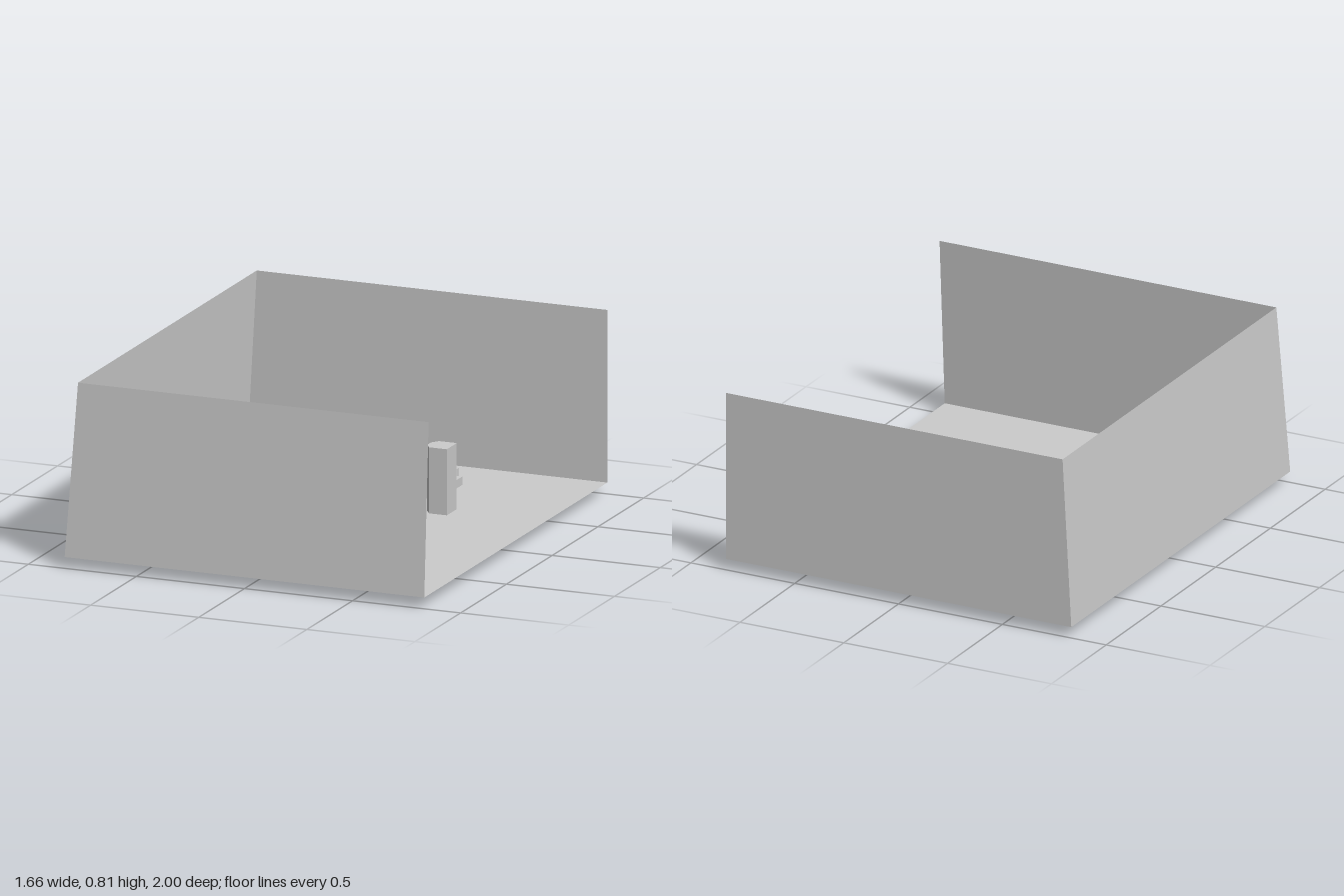
import * as THREE from 'three';

const concrete = new THREE.MeshStandardMaterial({ color: 0xcccccc });
concrete.name = 'light grey';
concrete.side = THREE.DoubleSide;

const FLOOR = 0.05, TOP = 0.813;

export function createModel() {
  const model = new THREE.Group();
  model.name = 'openRoom';

  const add = (name, geometry) => {
    const mesh = new THREE.Mesh(geometry, concrete);
    mesh.name = name;
    model.add(mesh);
    return mesh;
  };

  // Single-sheet panel from four corners, counter-clockwise seen from its front
  const panel = (name, corners) => {
    const g = new THREE.BufferGeometry();
    g.setAttribute('position', new THREE.Float32BufferAttribute(corners.flat(), 3));
    g.setIndex([0, 1, 2, 0, 2, 3]);
    g.computeVertexNormals();
    add(name, g);
  };

  // Upright prism from an [x, z] outline
  const prism = (name, outline, y0, y1) => {
    const shape = new THREE.Shape(outline.map(([x, z]) => new THREE.Vector2(x, -z)));
    const g = new THREE.ExtrudeGeometry(shape, { depth: y1 - y0, bevelEnabled: false });
    g.rotateX(-Math.PI / 2).translate(0, y0, 0);
    add(name, g);
  };

  const block = (name, x0, x1, y0, y1, z0, z1) => {
    const g = new THREE.BoxGeometry(x1 - x0, y1 - y0, z1 - z0);
    add(name, g.translate((x0 + x1) / 2, (y0 + y1) / 2, (z0 + z1) / 2));
  };

  // Floor and three walls; the right-hand end (+x) is open,
  // and the -x and front walls lean inwards
  const X = 0.832, XT = -0.79, ZT = 0.953;
  const backLow = [-X, FLOOR, -1], backHigh = [XT, TOP, -1];
  const frontLow = [-X, FLOOR, 1], frontHigh = [XT, TOP, ZT];
  const endBackLow = [X, FLOOR, -1], endBackHigh = [X, TOP, -1];
  const endFrontLow = [X, FLOOR, 1], endFrontHigh = [X, TOP, ZT];
  panel('floor', [frontLow, endFrontLow, endBackLow, backLow]);
  panel('frontWall', [frontLow, endFrontLow, endFrontHigh, frontHigh]);
  panel('sideWall', [backLow, frontLow, frontHigh, backHigh]);
  panel('backWall', [endBackLow, backLow, backHigh, endBackHigh]);

  // Low U-shaped kerb
  prism('kerb', [
    [-0.384, 0.112], [0.168, 0.112], [0.168, 0.04], [-0.3, 0.04],
    [-0.3, -0.648], [0.168, -0.648], [0.168, -0.722], [-0.384, -0.722],
  ], 0, 0.09);

  // Blocks at the ends of the kerb
  block('largeBlock', 0.187, 0.357, 0.02, 0.192, 0.007, 0.178);
  block('smallBlock', 0.19, 0.277, 0, 0.087, -0.727, -0.642);

  // Pillar with two chamfered corners
  prism('pillar', [
    [0.407, -0.25], [0.407, -0.358], [0.325, -0.358],
    [0.302, -0.325], [0.302, -0.283], [0.325, -0.25],
  ], 0, 0.342);

  // Small round stools around the kerb
  for (const [x, z] of [[-0.116, -0.788], [0.217, -0.765], [-0.485, -0.291], [-0.085, 0.174]]) {
    add('stool', new THREE.CylinderGeometry(0.023, 0.023, 0.078, 16)).position.set(x, 0.069, z);
  }

  return model;
}
